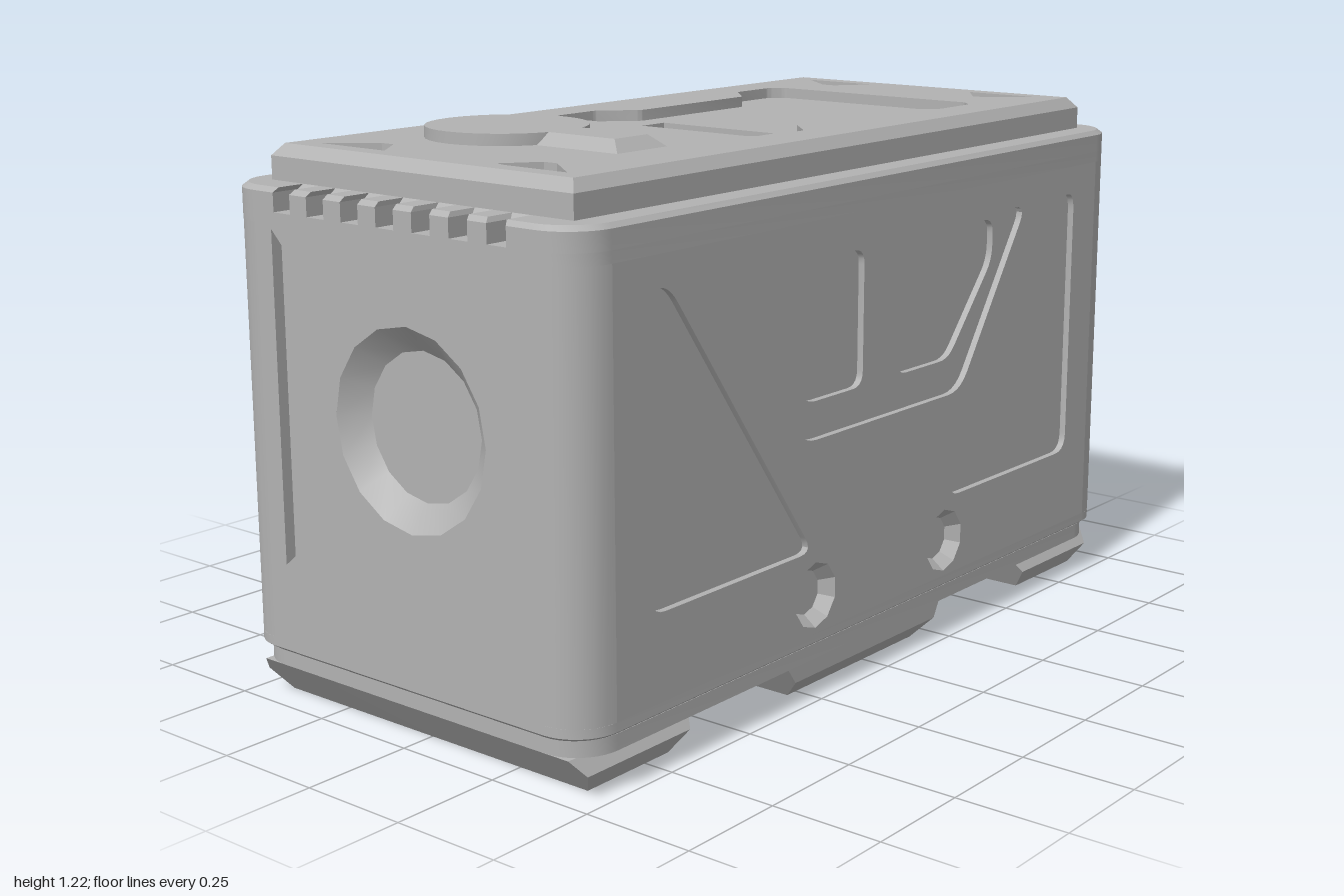
import * as THREE from 'three';
import { toCreasedNormals } from 'three/addons/utils/BufferGeometryUtils.js';
import { ConvexGeometry } from 'three/addons/geometries/ConvexGeometry.js';

const HX = 0.985, HZ = 0.49, R = 0.1; // body half length, half width, corner radius
const V = (x, y, z) => new THREE.Vector3(x, y, z);
const rect = (x0, y0, x1, y1) => [[x0, y0], [x1, y0], [x1, y1], [x0, y1]];
const mirrorX = (pts) => pts.map(([x, y]) => [-x, y]).reverse();
const mirrorY = (pts) => pts.map(([x, y]) => [x, -y]).reverse();
const circle = (x, y, r, n) => Array.from({ length: n }, (_, i) => {
  const a = (i / n) * Math.PI * 2;
  return [x + r * Math.sin(a), y + r * Math.cos(a)];
});

// Polygon path with optionally rounded corners
function path(pts, r = 0) {
  const s = new THREE.Shape();
  pts.forEach(([x, y], i) => {
    const p = new THREE.Vector2(x, y);
    const toward = (q) => {
      const d = new THREE.Vector2(...q).sub(p);
      return p.clone().addScaledVector(d, Math.min(r / d.length(), 0.45));
    };
    const a = toward(pts[(i + pts.length - 1) % pts.length]);
    const b = toward(pts[(i + 1) % pts.length]);
    if (i) s.lineTo(a.x, a.y); else s.moveTo(a.x, a.y);
    if (r) s.quadraticCurveTo(x, y, b.x, b.y);
  });
  s.closePath();
  return s;
}

function plate(shape, holes, depth) {
  shape.holes = holes;
  return new THREE.ExtrudeGeometry(shape, { depth, bevelEnabled: false, curveSegments: 5 });
}

// Rounded footprint, with optional vent notches along the -x edge
function footprint(hx, hz, notched) {
  const s = new THREE.Shape();
  s.moveTo(-hx + R, -hz);
  s.lineTo(hx - R, -hz);
  s.absarc(hx - R, -hz + R, R, -Math.PI / 2, 0);
  s.absarc(hx - R, hz - R, R, 0, Math.PI / 2);
  s.absarc(-hx + R, hz - R, R, Math.PI / 2, Math.PI);
  if (notched) for (let i = 0; i < 7; i++) {
    const y = 0.33 - i * 0.1, inner = -hx + 0.065;
    s.lineTo(-hx, y); s.lineTo(inner, y); s.lineTo(inner, y - 0.05); s.lineTo(-hx, y - 0.05);
  }
  s.absarc(-hx + R, -hz + R, R, Math.PI, Math.PI * 1.5);
  return s;
}

export function createModel() {
  const root = new THREE.Group();
  root.name = 'equipmentCrate';
  root.position.x = -0.015;
  const grey = new THREE.MeshStandardMaterial({ color: 0xb2b2b2, side: THREE.DoubleSide });
  grey.name = 'grey';

  const add = (name, geo, parent = root) => {
    const m = new THREE.Mesh(toCreasedNormals(geo, 0.5), grey);
    m.name = name;
    parent.add(m);
    return m;
  };
  const hull = (name, pts, parent) => add(name, new ConvexGeometry(pts), parent);

  // Horizontal layer between two heights; either end can be drawn inwards
  const slab = (name, shape, holes, y0, y1, insetTop = 0, insetBottom = 0, edge = 0) => {
    const geo = plate(shape, holes, y1 - y0).rotateX(-Math.PI / 2).translate(0, y0, 0);
    const p = geo.attributes.position;
    for (let i = 0; i < p.count; i++) {
      const x = p.getX(i), z = p.getZ(i);
      if (edge && Math.abs(x) < 0.9 && Math.abs(z) < 0.41) continue;
      const k = p.getY(i) > (y0 + y1) / 2 ? insetTop : insetBottom;
      p.setX(i, x * (1 - k / HX));
      p.setZ(i, z * (1 - k / HZ));
    }
    geo.computeVertexNormals();
    return add(name, geo);
  };

  // Body bands and core
  slab('bodyBottomBevel', footprint(HX, HZ), [], 0.115, 0.13, 0, 0.02);
  slab('bodyBottomBand', footprint(HX, HZ), [], 0.13, 0.15);
  slab('bodyTopBand', footprint(HX, HZ), [], 1.04, 1.065);
  slab('ventBand', footprint(HX, HZ, true), [], 1.065, 1.105);
  slab('bodyTopBevel', footprint(HX, HZ, true), [], 1.105, 1.115, 0.01);
  add('bodyCore', new THREE.BoxGeometry(1.895, 0.9, 0.92).translate(0.0075, 0.59, 0));
  for (const [i, sx, sz] of [[0, 1, 1], [1, 1, -1], [2, -1, -1], [3, -1, 1]]) {
    add('bodyCorner', new THREE.CylinderGeometry(R, R, 0.89, 6, 1, true, i * Math.PI / 2, Math.PI / 2)
      .translate(sx * (HX - R), 0.595, sz * (HZ - R)));
  }

  // Long sides, same panel front and back
  const brace = [[0.785, 0.335], [0.26, 0.335], [0.725, 0.975], [0.785, 0.975]];
  const frame = [[-0.565, 0.973], [0.565, 0.973], [0.3, 0.577], [-0.3, 0.577]];
  const pane = [[0.065, 0.955], [0.445, 0.955], [0.445, 0.86], [0.27, 0.655], [0.065, 0.655]];
  const ports = [-0.2475, 0.2475];
  const longSide = (name, turn) => {
    const g = new THREE.Group();
    g.name = name;
    g.rotation.y = turn;
    root.add(g);
    const wall = () => path(rect(-HX + R, 0.15, HX - R, 1.04));
    const portHoles = () => ports.map((x) => path(circle(x, 0.235, 0.073, 10)));
    add('outerPanel', plate(wall(), [path(brace, 0.045), path(mirrorX(brace), 0.045), path(frame, 0.05),
      ...portHoles()], 0.015).translate(0, 0, 0.475), g);
    add('innerPanel', plate(wall(), [path(pane, 0.035), path(mirrorX(pane), 0.035),
      ...portHoles()], 0.015).translate(0, 0, 0.46), g);
    for (const x of ports) {
      add('portRim', new THREE.CylinderGeometry(0.073, 0.05, 0.03, 10, 1, true)
        .rotateX(Math.PI / 2).translate(x, 0.235, 0.475), g);
    }
  };
  longSide('frontSide', 0);
  longSide('backSide', Math.PI);

  // Control end (+x); local x runs towards -z
  const control = new THREE.Group();
  control.name = 'controlEnd';
  control.rotation.y = Math.PI / 2;
  root.add(control);
  const endWall = () => path(rect(-HZ + R, 0.15, HZ - R, 1.04));
  const lCut = [[-0.15, 0.71], [0, 0.71], [0, 0.89], [0.12, 0.89], [0.12, 1.02], [-0.15, 1.02]];
  add('controlPanel', plate(endWall(), [path(rect(-0.305, 0.23, -0.18, 1.02)), path(lCut),
    path(rect(-0.15, 0.23, 0, 0.62)), path(rect(0.195, 0.23, 0.315, 1.02))], 0.03).translate(0, 0, 0.955), control);
  for (const [a, b] of [[-0.18, -0.205], [0.195, 0.22]]) {
    hull('slotSlope', [0.23, 1.02].flatMap((y) => [V(a, y, 0.985), V(a, y, 0.955), V(b, y, 0.955)]), control);
  }
  for (const y of [0.295, 0.42, 0.545]) {
    add('button', new THREE.CylinderGeometry(0.03, 0.053, 0.03, 8)
      .rotateX(Math.PI / 2).translate(0.097, y, 1), control);
  }

  // Socket end (-x); local x runs towards +z
  const socket = new THREE.Group();
  socket.name = 'socketEnd';
  socket.rotation.y = -Math.PI / 2;
  root.add(socket);
  const mouth = () => path(circle(0.045, 0.67, 0.21, 16));
  const bracket = [[-0.34, 0.32], [-0.23, 0.41], [-0.23, 0.92], [-0.34, 1.03]];
  add('socketPanel', plate(endWall(), [mouth(), path(bracket)], 0.025).translate(0, 0, 0.96), socket);
  add('socketBacking', plate(endWall(), [mouth()], 0.02).translate(0, 0, 0.94), socket);
  add('socketRim', new THREE.CylinderGeometry(0.21, 0.155, 0.045, 16, 1, true)
    .rotateX(Math.PI / 2).translate(0.045, 0.67, 0.9625), socket);

  // Lid layers with corner pockets and a stepped tray
  const pocket = [[-0.845, 0.345], [-0.845, 0.15], [-0.765, 0.21], [-0.765, 0.245]];
  const pockets = () => [pocket, mirrorX(pocket), mirrorY(pocket), mirrorX(mirrorY(pocket))].map((p) => path(p));
  const trayTop = [[-0.205, 0.27], [-0.175, 0.3], [-0.05, 0.3], [0.025, 0.225], [0.405, 0.225],
    [0.48, 0.3], [0.605, 0.3], [0.635, 0.27]];
  const tray = path([...trayTop, ...mirrorY(trayTop)], 0.01);
  const lid = () => path(rect(-0.91, -0.42, 0.91, 0.42));
  slab('lidBase', lid(), [], 1.11, 1.15);
  slab('lidMiddle', lid(), [...pockets(), path(rect(-0.115, -0.16, 0.03, 0.16))], 1.15, 1.165);
  slab('lidTop', lid(), [...pockets(), tray], 1.165, 1.19, 0.023, 0, 1);

  // Raised round latch and its stem
  add('latchDisc', new THREE.CylinderGeometry(0.174, 0.174, 0.025, 32).translate(-0.515, 1.2025, -0.13));
  hull('latchStem', [[1.19, 0.076, 0.245], [1.215, 0.05, 0.215]].flatMap(([y, w, z]) =>
    [-w, w].flatMap((x) => [V(-0.515 + x, y, z), V(-0.515 + x, y, -0.05)])));

  // Base plate and tapered feet running across the width
  slab('basePlate', footprint(HX - 0.015, HZ - 0.012), [], 0.085, 0.12);
  for (const [t0, t1, b0, b1] of [[-0.97, -0.615, -0.905, -0.665], [-0.325, 0.25, -0.265, 0.205],
    [0.625, 0.965, 0.675, 0.925]]) {
    const at = (k) => [t0 + (b0 - t0) * k, t1 + (b1 - t1) * k];
    const rings = [[0.085, t0 < -0.9 ? t0 : at(0)[0], t1, t0 < -0.9 || t0 > 0.5 ? 0.44 : 0.478],
      [0.05, ...at(0.42), t0 < -0.9 || t0 > 0.5 ? 0.465 : 0.478], [0, b0, b1, 0.43]];
    hull('foot', rings.flatMap(([y, x0, x1, z]) =>
      [V(x0, y, z), V(x1, y, z), V(x0, y, -z), V(x1, y, -z)]));
  }
  return root;
}
